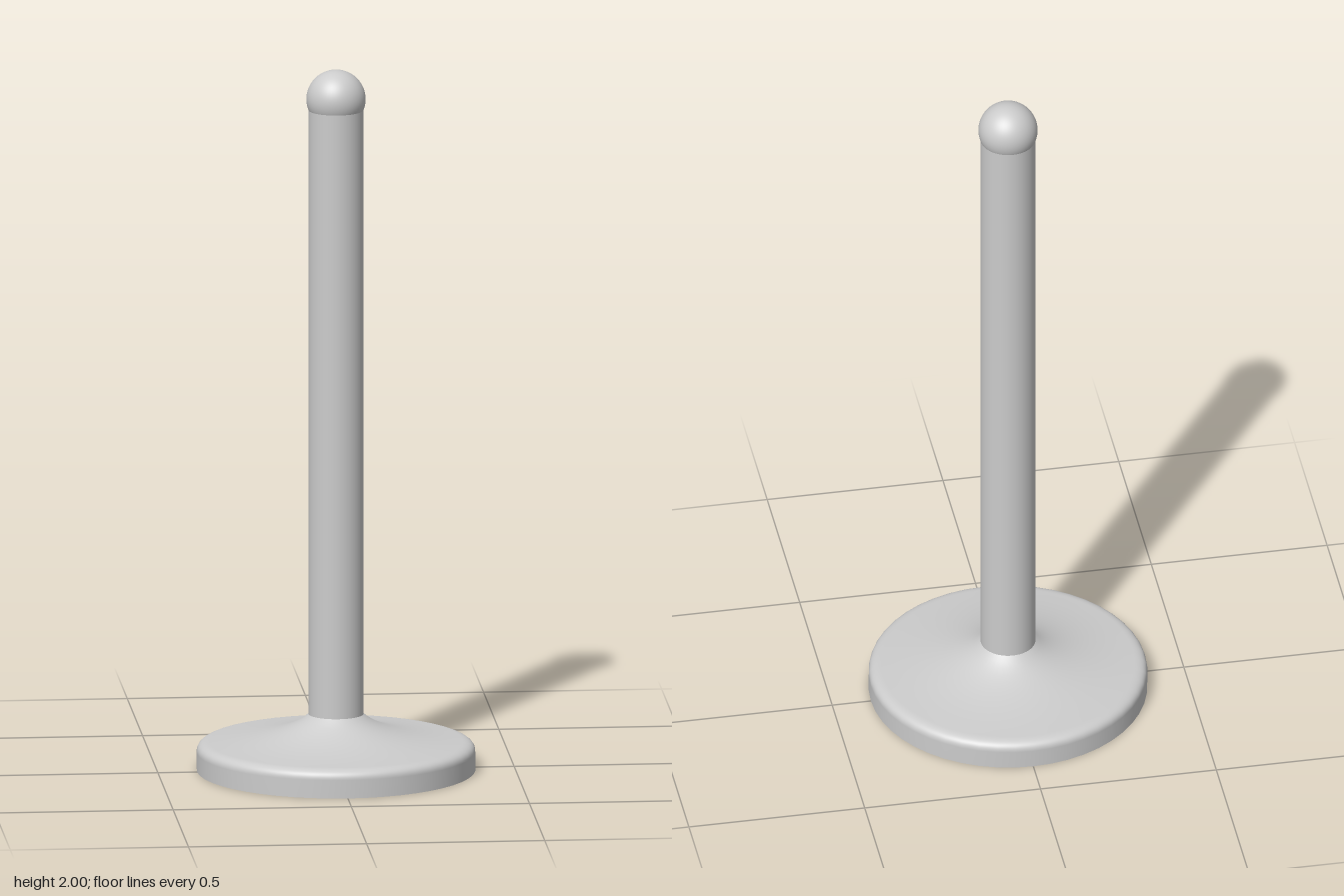
import * as THREE from 'three';

const SEGMENTS = 48;
const POLE_RADIUS = 0.077;
const BALL_RADIUS = 0.083;

export function createModel() {
  const group = new THREE.Group();
  const material = new THREE.MeshStandardMaterial({ color: 0xcccccc });

  const add = (name, geometry, y = 0) => {
    const mesh = new THREE.Mesh(geometry, material);
    mesh.name = name;
    mesh.position.y = y;
    group.add(mesh);
    return mesh;
  };

  // Base: straight rim, rounded shoulder, then a concave flare up to the pole
  const profile = new THREE.Path();
  profile.moveTo(0.39, 0);
  profile.lineTo(0.39, 0.052);
  profile.bezierCurveTo(0.39, 0.07, 0.378, 0.079, 0.355, 0.081);
  profile.bezierCurveTo(0.24, 0.09, 0.13, 0.11, POLE_RADIUS, 0.16);
  add('base', new THREE.LatheGeometry(profile.getPoints(12), SEGMENTS));

  // Flat underside
  add('baseUnderside', new THREE.CircleGeometry(0.39, SEGMENTS).rotateX(Math.PI / 2));

  // Upright pole
  const bottom = 0.16, top = 1.89;
  add('pole', new THREE.CylinderGeometry(POLE_RADIUS, POLE_RADIUS, top - bottom, SEGMENTS, 1, true), (top + bottom) / 2);

  // Ball tip, cut where it meets the pole
  const cut = Math.PI - Math.asin(POLE_RADIUS / BALL_RADIUS);
  add('ballTip', new THREE.SphereGeometry(BALL_RADIUS, SEGMENTS, 24, 0, Math.PI * 2, 0, cut), 2 - BALL_RADIUS);

  return group;
}
